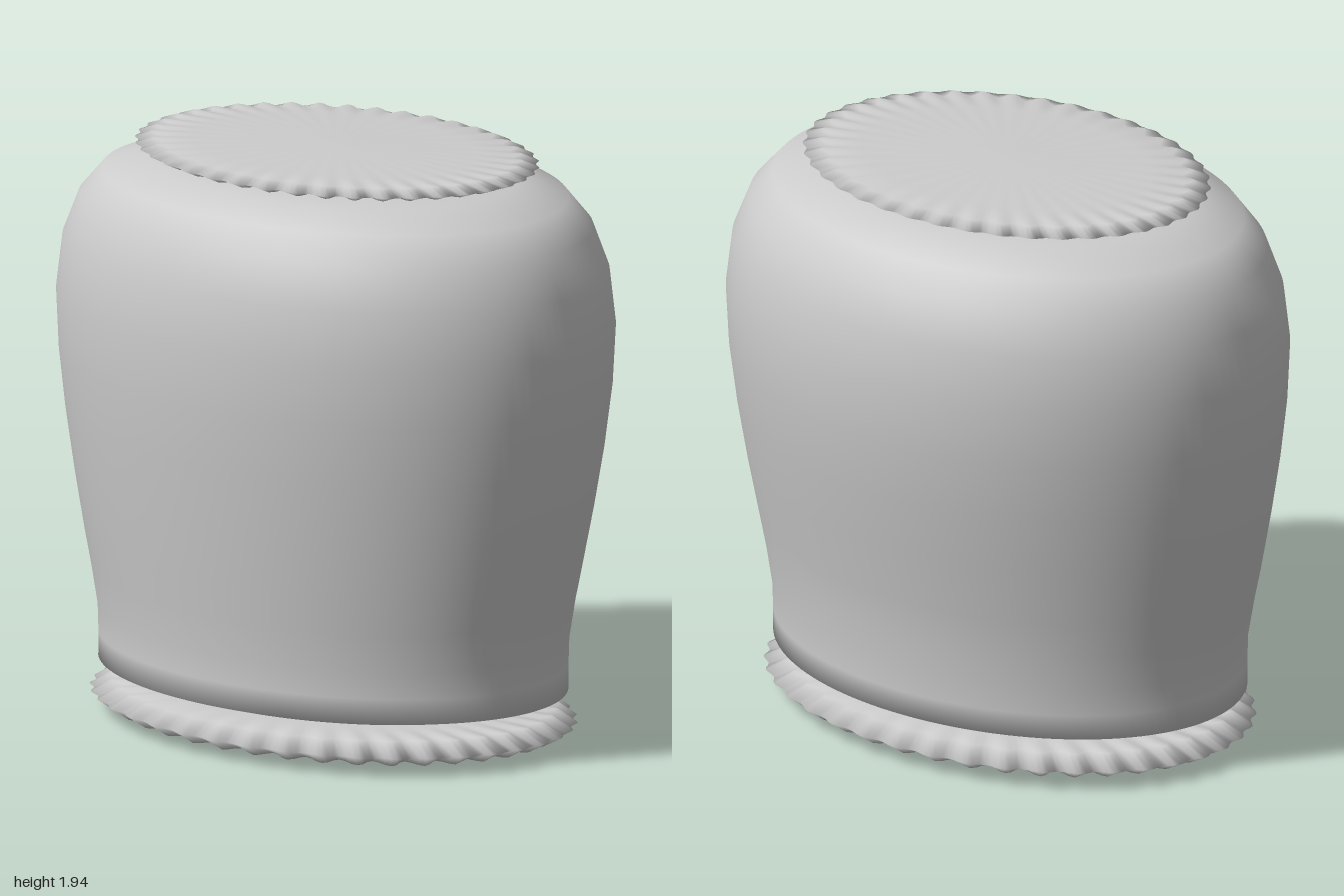
import * as THREE from 'three';

const PLEATS = 40;

// Loft of lopsided oval rings, bottom to top.
// Each ring: [y, left x, right x, half depth, radial wave, height wave]; mid is the x of the oval's axis.
function loft(rings, mid, segments) {
  const positions = [];
  const index = [];
  for (const [y, left, right, depth, wave = 0, lift = 0] of rings) {
    for (let i = 0; i < segments; i++) {
      const a = (i / segments) * Math.PI * 2;
      const ripple = Math.cos(a * PLEATS);
      const k = 1 + wave * ripple;
      const c = Math.cos(a);
      const rx = c > 0 ? right - mid : mid - left;
      positions.push(mid + c * rx * k, y + lift * ripple, Math.sin(a) * depth * k);
    }
  }
  for (let r = 0; r < rings.length - 1; r++) {
    for (let i = 0; i < segments; i++) {
      const j = (i + 1) % segments;
      const a = r * segments + i, b = r * segments + j;
      const c = a + segments, d = b + segments;
      if (r < rings.length - 2) index.push(a, c, d); // skip collapsed triangles at the poles
      else index.push(a, c, b);
      if (r > 0 && r < rings.length - 2) index.push(a, d, b);
      if (r === 0) index.splice(index.length - 3, 3, a, c, d);
    }
  }
  const geometry = new THREE.BufferGeometry();
  geometry.setAttribute('position', new THREE.Float32BufferAttribute(positions, 3));
  geometry.setIndex(index);
  geometry.computeVertexNormals();
  return geometry;
}

// Thin lens-shaped disc with a pleated rim
function pleatedDisc(mid, rx, rz, yBottom, yRimLow, yRim, yRimHigh, yTop) {
  const ring = (y, f, wave, lift) => [y, mid - rx * f, mid + rx * f, rz * f, wave, lift];
  return loft([
    ring(yBottom, 0),
    ring(yBottom + (yRimLow - yBottom) * 0.75, 0.7),
    ring(yRimLow, 0.89, 0.03, -0.003),
    ring(yRim, 0.99, 0.01, 0),
    ring(yRimHigh, 0.89, 0.03, 0.003),
    ring(yTop - (yTop - yRimHigh) * 0.75, 0.7),
    ring(yTop, 0),
  ], mid, PLEATS * 6);
}

export function createModel() {
  const group = new THREE.Group();
  const lightGrey = new THREE.MeshStandardMaterial({ color: 0xcccccc });
  lightGrey.name = 'lightGrey';

  const add = (name, geometry) => {
    const mesh = new THREE.Mesh(geometry, lightGrey);
    mesh.name = name;
    group.add(mesh);
  };

  // Oval body, wide at the shoulder and tapering to the foot
  add('body', loft([
    [0.125, -0.03, -0.03, 0],
    [0.14, -0.43, 0.37, 0.57],
    [0.152, -0.56, 0.5, 0.74],
    [0.177, -0.64, 0.582, 0.848],
    [0.26, -0.638, 0.583, 0.848],
    [0.35, -0.642, 0.588, 0.85],
    [0.48, -0.658, 0.602, 0.873],
    [0.6, -0.675, 0.622, 0.898],
    [0.8, -0.7, 0.664, 0.935],
    [1.0, -0.723, 0.702, 0.967],
    [1.2, -0.743, 0.734, 0.99],
    [1.4, -0.75, 0.746, 1.0],
    [1.58, -0.733, 0.73, 0.977],
    [1.72, -0.69, 0.686, 0.92],
    [1.815, -0.63, 0.615, 0.835],
    [1.868, -0.5, 0.48, 0.66],
    [1.88, -0.38, 0.36, 0.48],
    [1.89, -0.03, -0.03, 0],
  ], -0.03, 128));

  // Pleated discs closing the two ends
  add('topDisc', pleatedDisc(-0.01, 0.54, 0.725, 1.885, 1.897, 1.915, 1.934, 1.945));
  add('bottomDisc', pleatedDisc(-0.028, 0.638, 0.88, 0.003, 0.032, 0.068, 0.108, 0.128));

  return group;
}
